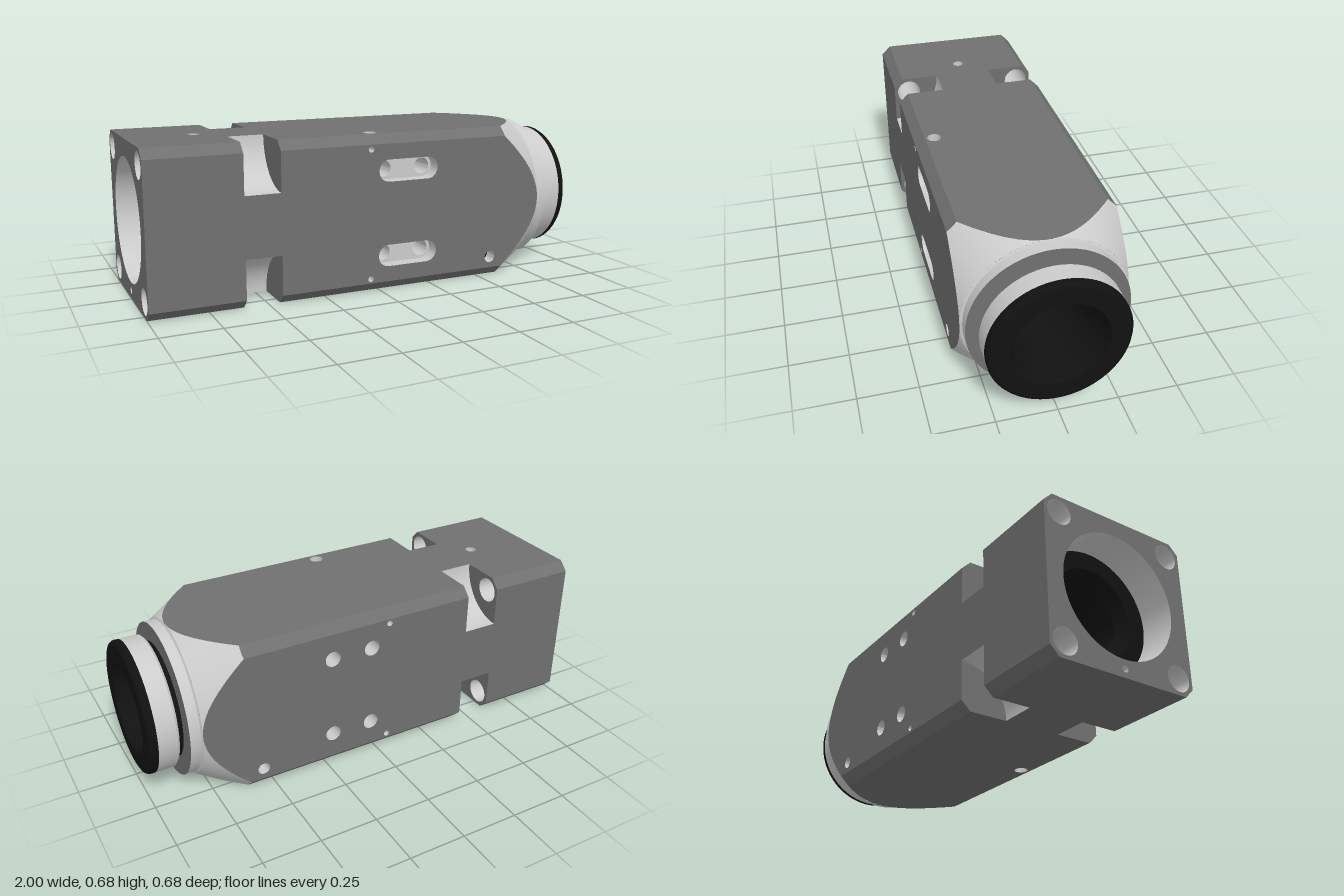
import * as THREE from 'three';
import { toCreasedNormals, mergeGeometries } from 'three/addons/utils/BufferGeometryUtils.js';

const H = 0.34, F = 0.30;            // half width of body, half width of a flat side
const N0 = -0.605, N1 = -0.45;       // corner notch range along x
const NR = 0.21;                     // notch radius around the body corner
const BORE = 0.265;
const SLOPE = 0.19 / 0.1134;         // nose cone, x per unit of radius
const coneX = r => 0.80 - (r - H) * SLOPE;

const mat = color => new THREE.MeshStandardMaterial({ color, side: THREE.DoubleSide });

export function createModel() {
  const group = new THREE.Group();
  const body = mat(0x707070), milled = mat(0xcccccc), black = mat(0x111111);

  const add = (name, geo, material) => {
    const mesh = new THREE.Mesh(geo, material);
    mesh.name = name;
    group.add(mesh);
    return mesh;
  };

  // Outlines: round hole and rounded slot
  const circle = (x, y, r) => new THREE.Path().absarc(x, y, r, 0, Math.PI * 2, false);
  const slot = (x0, x1, y, r) => {
    const p = new THREE.Path();
    p.absarc(x1, y, r, -Math.PI / 2, Math.PI / 2, false);
    p.absarc(x0, y, r, Math.PI / 2, Math.PI * 1.5, false);
    p.closePath();
    return p;
  };
  const polygon = pts => new THREE.Shape(pts.map(p => new THREE.Vector2(...p)));
  const flat = (shape, d) => new THREE.ShapeGeometry(shape, 16).translate(0, 0, d);

  // Wall of a hole, following an outline from depth d0 to d1
  const wall = (path, d0, d1) => {
    const pts = path.getPoints(16), pos = [];
    for (let i = 0; i < pts.length - 1; i++) {
      const a = pts[i], b = pts[i + 1];
      pos.push(a.x, a.y, d0, a.x, a.y, d1, b.x, b.y, d1, a.x, a.y, d0, b.x, b.y, d1, b.x, b.y, d0);
    }
    const g = new THREE.BufferGeometry();
    g.setAttribute('position', new THREE.Float32BufferAttribute(pos, 3));
    return toCreasedNormals(g, 0.7);
  };

  // Surface turned around the long x axis from [x, radius] pairs
  const turned = (pts) => toCreasedNormals(
    new THREE.LatheGeometry(pts.map(([x, r]) => new THREE.Vector2(r, x)), 96).rotateZ(-Math.PI / 2), 0.4);

  // Hyperbolic end where a flat at distance d meets the nose cone
  const noseEdge = (d, w) => Array.from({ length: 33 }, (_, i) => {
    const v = -w + (2 * w * i) / 32;
    return [coneX(Math.hypot(d, v)), v];
  });

  // Four flat sides, with notched edges, holes and slots
  const n = H - NR;
  const outline = [[-1, F], [-1, -F], [N0, -F], [N0, -n], [N1, -n], [N1, -F],
    ...noseEdge(H, F), [N1, F], [N1, n], [N0, n], [N0, F]];
  const pins = [-0.28, 0.28].map(v => circle(-0.05, v, 0.013));
  const bolts = [-0.185, 0.185].flatMap(v => [0.035, 0.22].map(x => circle(x, v, 0.035)));
  const slots = [-0.185, 0.185].map(v => slot(0.035, 0.22, v, 0.0475));
  const FLOOR = 0.28;
  const sides = [
    { name: 'frontSide', a: 0, holes: [...slots, ...pins], blind: [circle(0.55, -0.25, 0.026)] },
    { name: 'backSide', a: Math.PI, holes: [...bolts, ...pins], blind: [circle(0.55, 0.25, 0.026)] },
    { name: 'topSide', a: -Math.PI / 2, holes: [circle(-0.02, -0.26, 0.03)], blind: [circle(-0.71, 0, 0.025)] },
    { name: 'bottomSide', a: Math.PI / 2, holes: [circle(-0.02, 0.26, 0.03)], blind: [] },
  ];
  for (const { name, a, holes, blind } of sides) {
    const shape = polygon(outline);
    shape.holes.push(...holes, ...blind);
    add(name, flat(shape, H).rotateX(a), body);
    for (const b of blind) {
      add('blindHoleWall', wall(b, H, H - 0.06).rotateX(a), milled);
      add('blindHoleFloor', flat(new THREE.Shape(b.getPoints(16)), H - 0.06).rotateX(a), black);
    }
  }

  // Front slots: walls and floors, with bolt holes running to the back
  for (const s of slots) {
    add('slotWall', wall(s, H, FLOOR), milled);
    const floor = new THREE.Shape(s.getPoints(16));
    const y = s.getPoints(16)[0].y + 0.0475;
    floor.holes.push(...[0.035, 0.22].map(x => circle(x, y, 0.035)));
    add('slotFloor', flat(floor, FLOOR), milled);
  }
  bolts.forEach(b => add('boltHole', wall(b, FLOOR, -H), milled));
  pins.forEach(p => add('pinHole', wall(p, H, -H), milled));

  // Vertical stepped hole from top to bottom
  for (const [a, v] of [[-Math.PI / 2, -0.26], [Math.PI / 2, 0.26]]) {
    const wide = circle(-0.02, v, 0.03), narrow = circle(-0.02, v, 0.018);
    const step = new THREE.Shape(wide.getPoints(16));
    step.holes.push(narrow);
    add('steppedHole', mergeGeometries([wall(wide, H, H - 0.04), wall(narrow, H - 0.04, 0)]).rotateX(a), milled);
    add('steppedHoleLedge', flat(step, H - 0.04).rotateX(a), milled);
  }

  // Corners: chamfers, curved notches and end bolt holes
  const chD = (H + F) / Math.SQRT2, chW = (H - F) / Math.SQRT2;
  const arc = new THREE.Path().absarc(H, H, NR, -Math.PI / 2, -Math.PI, true);
  const corner = [...arc.getPoints(20).map(p => [p.x, p.y]), [F, H], [H, F]];
  for (let k = 0; k < 4; k++) {
    const a = k * Math.PI / 2;
    const chamfers = [
      polygon([[-1, -chW], [N0, -chW], [N0, chW], [-1, chW]]),
      polygon([[N1, -chW], ...noseEdge(chD, chW), [N1, chW]]),
    ];
    for (const c of chamfers) add('chamfer', flat(c, chD).rotateX(a + Math.PI / 4), body);

    const bolt = circle(0.27, 0.27, 0.055);
    const rear = polygon(corner);
    rear.holes.push(bolt);
    const place = g => g.rotateY(-Math.PI / 2).rotateX(a);
    add('notchRearWall', place(flat(rear, -N0)), body);
    add('notchFrontWall', place(flat(polygon(corner), -N1)), body);
    add('notchFloor', place(wall(arc, -N0, -N1)), milled);
    add('endBoltHole', place(wall(bolt, 1, -N0)), milled);
  }

  // End face with the large bore
  const end = polygon([[F, H], [-F, H], [-H, F], [-H, -F], [-F, -H], [F, -H], [H, -F], [H, F]]);
  const dowel = circle(0, -0.303, 0.015);
  end.holes.push(circle(0, 0, BORE), dowel);
  for (const sx of [-1, 1]) for (const sy of [-1, 1]) end.holes.push(circle(sx * 0.27, sy * 0.27, 0.055));
  add('endFace', new THREE.ShapeGeometry(end, 48).translate(0, 0, 1).rotateY(-Math.PI / 2), body);
  add('dowelHole', wall(dowel, 1, 0.92).rotateY(-Math.PI / 2), milled);
  add('boreWall', turned([[-1, BORE], [-0.85, BORE]]), milled);

  // Nose cone, cut by the flats and chamfers of the body
  const pos = [], nor = [], idx = [], SEG = 360;
  const cornerAngle = Math.atan2(F, H);
  const angles = Array.from({ length: SEG + 1 }, (_, i) => i * 2 * Math.PI / SEG);
  for (let k = 0; k < 4; k++) angles.push(k * Math.PI / 2 + cornerAngle, (k + 1) * Math.PI / 2 - cornerAngle);
  angles.sort((p, q) => p - q);
  const nl = Math.hypot(1, SLOPE);
  angles.forEach((t, i) => {
    const c = Math.abs(Math.cos(t)), s = Math.abs(Math.sin(t));
    const R = Math.min(H / Math.max(c, s), (H + F) / (c + s));
    for (const r of [R, H]) {
      pos.push(coneX(r), r * Math.cos(t), r * Math.sin(t));
      nor.push(1 / nl, SLOPE * Math.cos(t) / nl, SLOPE * Math.sin(t) / nl);
    }
    const j = i * 2;
    if (i < angles.length - 1) idx.push(j, j + 2, j + 1, j + 1, j + 2, j + 3);
  });
  const cone = new THREE.BufferGeometry();
  cone.setAttribute('position', new THREE.Float32BufferAttribute(pos, 3));
  cone.setAttribute('normal', new THREE.Float32BufferAttribute(nor, 3));
  cone.setIndex(idx);
  add('noseCone', cone, milled);

  // Collar, neck, ring and black insert
  add('collar', turned([[0.80, H], [0.805, 0.33], [0.85, 0.33]]), milled);
  add('collarFace', turned([[0.85, 0.33], [0.85, 0.25]]), body);
  add('neck', turned([[0.85, 0.25], [0.875, 0.25]]), black);
  add('ring', turned([[0.875, 0.25], [0.875, 0.275], [0.885, 0.285], [0.965, 0.285]]), milled);
  add('insert', turned([
    [-0.85, BORE], [-0.85, 0.19], [-0.80, 0.15], [0.80, 0.15], [0.985, 0.187], [1, 0.195],
    [1, 0.268], [0.995, 0.279], [0.985, 0.285], [0.965, 0.285],
  ]), black);

  group.position.y = H;
  const model = new THREE.Group();
  model.name = 'housing';
  model.add(group);
  return model;
}
